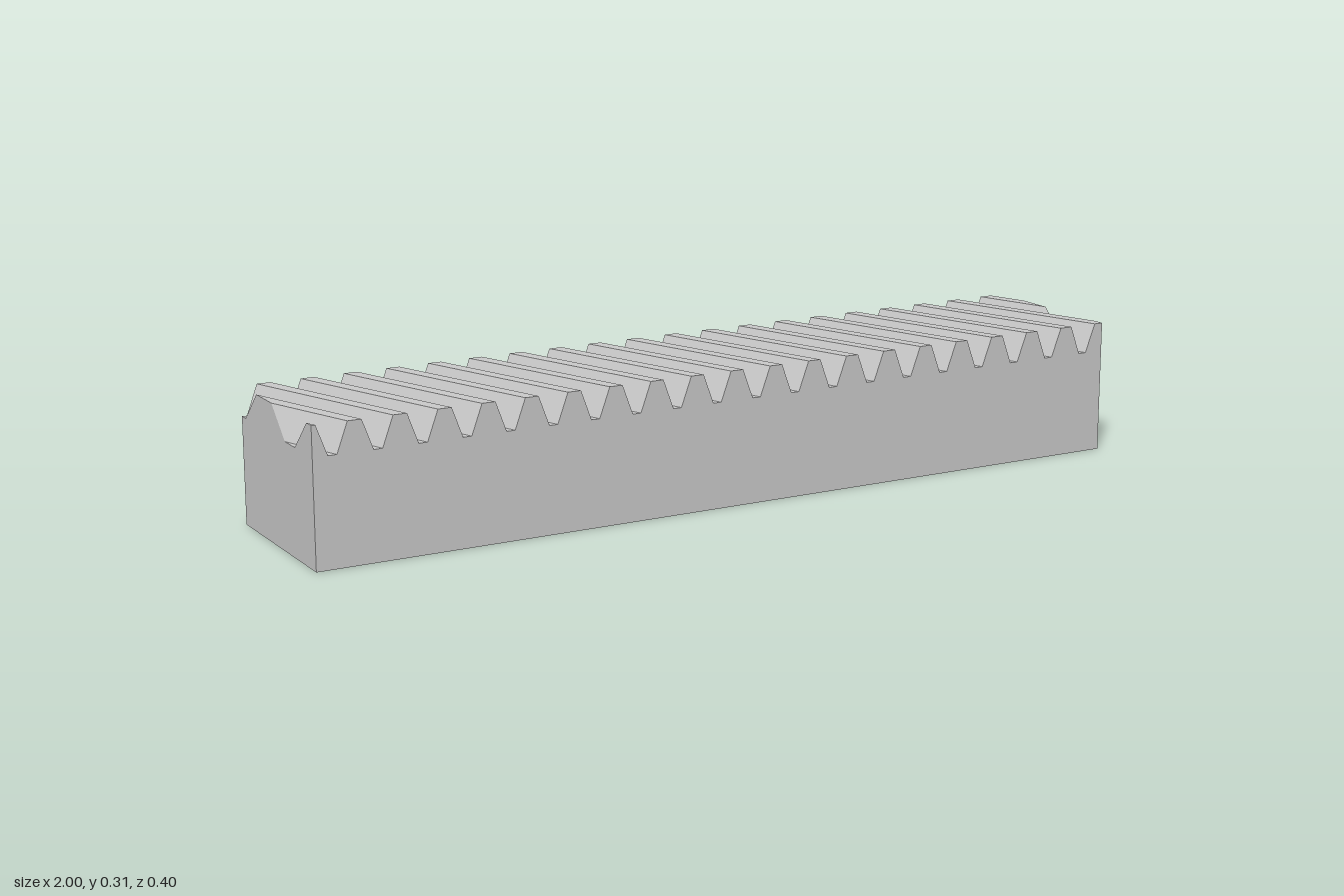
import * as THREE from 'three';

// Helical gear rack: a bar whose slanted teeth are cut off flush with its sides.
const HALF_L = 1, HALF_W = 0.2;
const TOP = 0.308, FLOOR = 0.241;
const PITCH = 0.1, GAP_CENTRE = 0.0435, GAP_TOP = 0.0345, GAP_FLOOR = 0.0098;
const SLANT = Math.tan(THREE.MathUtils.degToRad(19.53));

// Position across the teeth, measured along the front edge
const across = (x, z) => x - SLANT * (z - HALF_W);

// Tooth height at that position
function height(u) {
  const d = Math.abs(u - GAP_CENTRE - PITCH * Math.round((u - GAP_CENTRE) / PITCH));
  const t = THREE.MathUtils.clamp((d - GAP_FLOOR) / (GAP_TOP - GAP_FLOOR), 0, 1);
  return THREE.MathUtils.lerp(FLOOR, TOP, t);
}

// Corners of the tooth profile, in rising order
const knots = [];
for (let i = -12; i <= 12; i++) {
  for (const d of [-GAP_TOP, -GAP_FLOOR, GAP_FLOOR, GAP_TOP]) knots.push(GAP_CENTRE + i * PITCH + d);
}

// Adds a convex polygon as a triangle fan
function addPolygon(out, pts) {
  for (let i = 1; i < pts.length - 1; i++) {
    for (const p of [pts[0], pts[i], pts[i + 1]]) out.push(...p);
  }
}

// Cuts a polygon to side * x <= HALF_L
function clip(pts, side) {
  const res = [];
  pts.forEach((p, i) => {
    const q = pts[(i + 1) % pts.length];
    const dp = HALF_L - side * p[0], dq = HALF_L - side * q[0];
    if (dp >= 0) res.push(p);
    if (dp * dq < 0) res.push(p.map((v, k) => v + (q[k] - v) * dp / (dp - dq)));
  });
  return res;
}

// Upright wall between two corners, its top following the tooth profile
function addWall(out, [x0, z0], [x1, z1]) {
  const u0 = across(x0, z0), u1 = across(x1, z1);
  const ts = knots.map(u => (u - u0) / (u1 - u0)).filter(t => t > 0 && t < 1);
  const stops = [0, ...ts, 1].sort((a, b) => a - b);
  const at = t => [x0 + (x1 - x0) * t, z0 + (z1 - z0) * t, height(u0 + (u1 - u0) * t)];
  for (let i = 0; i < stops.length - 1; i++) {
    const [ax, az, ah] = at(stops[i]), [bx, bz, bh] = at(stops[i + 1]);
    addPolygon(out, [[ax, 0, az], [bx, 0, bz], [bx, bh, bz], [ax, ah, az]]);
  }
}

function makeMesh(name, positions) {
  const geometry = new THREE.BufferGeometry();
  geometry.setAttribute('position', new THREE.Float32BufferAttribute(positions, 3));
  geometry.computeVertexNormals();
  const mesh = new THREE.Mesh(geometry, new THREE.MeshStandardMaterial({ color: 0xcccccc, flatShading: true }));
  mesh.name = name;
  return mesh;
}

export function createModel() {
  const group = new THREE.Group();
  group.name = 'helicalRack';

  // Bar: four walls and the underside
  const bar = [];
  const corners = [[-HALF_L, HALF_W], [HALF_L, HALF_W], [HALF_L, -HALF_W], [-HALF_L, -HALF_W]];
  corners.forEach((c, i) => addWall(bar, c, corners[(i + 1) % 4]));
  addPolygon(bar, corners.map(([x, z]) => [x, 0, z]).reverse());
  group.add(makeMesh('rackBar', bar));

  // Teeth: slanted lands, flanks and gap floors, cut at both ends
  const teeth = [];
  for (let i = 0; i < knots.length - 1; i++) {
    const a = knots[i], b = knots[i + 1];
    const point = (u, z) => [u + SLANT * (z - HALF_W), height(u), z];
    const strip = [point(a, -HALF_W), point(a, HALF_W), point(b, HALF_W), point(b, -HALF_W)];
    addPolygon(teeth, clip(clip(strip, 1), -1));
  }
  group.add(makeMesh('slantedTeeth', teeth));

  return group;
}
